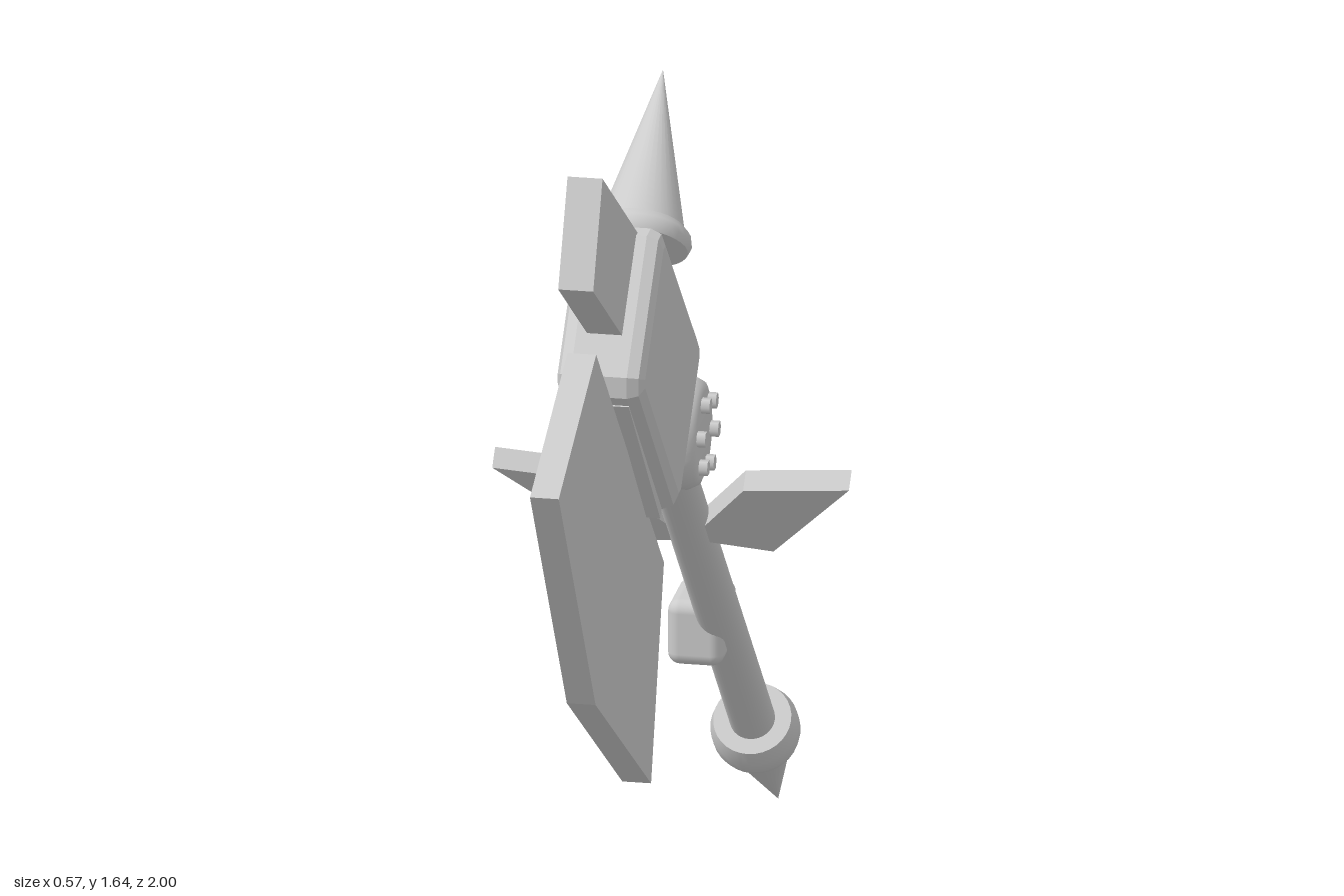
import * as THREE from 'three';
import { RoundedBoxGeometry } from 'three/addons/geometries/RoundedBoxGeometry.js';

const YAW = 0.105;
const K = 1 / Math.cos(YAW);

export function createModel() {
  const stone = new THREE.MeshStandardMaterial({ color: 0xcccccc });
  stone.name = 'light grey';
  const model = new THREE.Group();
  model.name = 'axe';
  const axe = new THREE.Group();
  axe.name = 'axeBody';
  axe.rotation.y = YAW;
  axe.position.x = 0.005;
  model.add(axe);

  const add = (name, geometry, parent = axe) => {
    const mesh = new THREE.Mesh(geometry, stone);
    mesh.name = name;
    parent.add(mesh);
    return mesh;
  };
  const at = (z, y, x = 0) => new THREE.Vector3(x, y, z * K);

  // Plate drawn as [z, y] corners, centred on x, with an optional chamfer
  const plate = (name, corners, thickness, bevel = 0) => {
    const shape = new THREE.Shape(corners.map(([z, y]) => new THREE.Vector2(z * K, y)));
    const depth = thickness - 2 * bevel;
    const g = new THREE.ExtrudeGeometry(shape, {
      depth, bevelEnabled: bevel > 0, bevelThickness: bevel,
      bevelSize: bevel, bevelOffset: -bevel, bevelSegments: 2,
    });
    g.translate(0, 0, -depth / 2).rotateY(-Math.PI / 2);
    return add(name, g);
  };

  // Turned part placed at a point and pointing along a direction
  const turned = (name, profile, origin, direction) => {
    const g = new THREE.LatheGeometry(profile.map(([r, h]) => new THREE.Vector2(r, h)), 32);
    const mesh = add(name, g);
    mesh.position.copy(origin);
    mesh.quaternion.setFromUnitVectors(new THREE.Vector3(0, 1, 0), direction.clone().normalize());
    return mesh;
  };

  // Handle and pointed pommel share one axis
  const tip = at(-1, 0);
  const pivot = at(0.013, 0.987);
  const axis = pivot.clone().sub(tip).normalize();
  turned('handle', [[0, 0.28], [0.036, 0.28], [0.036, 1.55], [0, 1.55]], tip, axis);
  turned('pommelSpike', [[0, 0], [0.05, 0.22], [0.05, 0.22], [0.066, 0.245], [0.07, 0.26],
    [0.07, 0.285], [0.062, 0.31], [0.062, 0.31], [0, 0.31]], tip, axis);

  // Head block, blade and the strip joining them
  plate('headBlock', [[0.33, 1.445], [0.365, 1.445], [0.537, 1.27], [0.537, 1.235],
    [0.235, 0.94], [0.195, 0.94], [0.025, 1.115], [0.025, 1.155]], 0.14, 0.025);
  plate('bladeMount', [[0.52, 1.215], [0.45, 1.24], [0.2, 0.98], [0.25, 0.93]], 0.09);
  plate('blade', [[1, 1.235], [0.68, 1.36], [0.1, 0.8], [0.21, 0.47], [0.685, 0.775]], 0.046);
  plate('topBlock', [[0.652, 1.645], [0.732, 1.485], [0.4, 1.265], [0.3, 1.41]], 0.056);

  // Back spike
  turned('backSpike', [[0, 0], [0.078, 0], [0.078, 0], [0.083, 0.012], [0.08, 0.025],
    [0.068, 0.038], [0.068, 0.038], [0, 0.305]], at(0.193, 1.36), new THREE.Vector3(0, 1, -0.94));

  for (const side of [-1, 1]) {
    const name = side > 0 ? 'left' : 'right';
    // Round pivot cap with a ring of bolts
    turned(name + 'PivotCap', [[0, 0.02], [0.08, 0.02], [0.09, 0.03], [0.09, 0.05],
      [0.082, 0.066], [0.07, 0.071], [0, 0.071]], pivot, new THREE.Vector3(side, 0, 0));
    for (let i = 0; i < 6; i++) {
      const a = (i / 6) * Math.PI * 2 + 0.2;
      const bolt = add(name + 'Bolt', new THREE.CylinderGeometry(0.013, 0.013, 0.018, 6));
      bolt.rotation.z = Math.PI / 2;
      bolt.position.set(side * 0.076, pivot.y + 0.057 * Math.sin(a), pivot.z + 0.057 * Math.cos(a));
    }

    // Swept fin lying in the plane of the handle axis
    const rise = axis.y;
    const corners = [[0.285, 0.885], [0.112, 0.865], [0.025, 0.755], [0.025, 0.72], [0.13, 0.705]];
    const shape = new THREE.Shape(corners.map(([x, y]) => new THREE.Vector2(side * x, y / rise)));
    const fin = add(name + 'Fin', new THREE.ExtrudeGeometry(shape, { depth: 0.036, bevelEnabled: false })
      .translate(0, 0, -0.018));
    fin.position.copy(tip);
    fin.quaternion.setFromUnitVectors(new THREE.Vector3(0, 1, 0), axis);
  }

  // Small grip block on the right of the handle
  const grip = add('gripBlock', new RoundedBoxGeometry(0.09, 0.108, 0.135, 3, 0.02));
  grip.position.copy(at(-0.535, 0.465, -0.035));

  return model;
}
